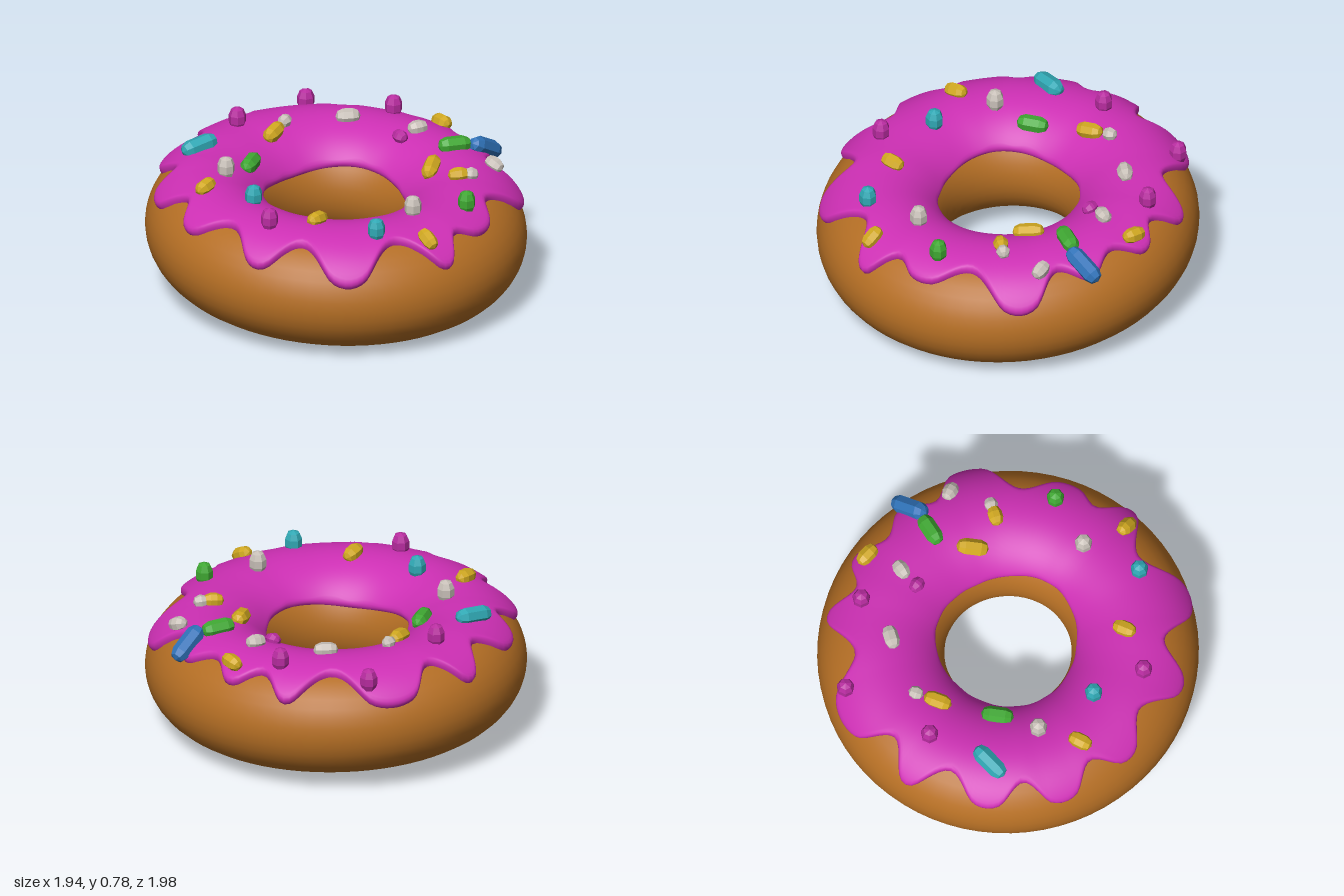
import * as THREE from 'three';

const RING = 0.66, HALF_W = 0.33, HALF_H = 0.3, MID_Y = 0.33;

const mat = (name, color) => {
  const m = new THREE.MeshStandardMaterial({ color });
  m.name = name;
  return m;
};

// Point on the dough section, pushed out by t, with a slight forward tilt
function ringPoint(phi, theta, t) {
  const r = RING + (HALF_W + t) * Math.cos(theta);
  const z = r * Math.sin(phi);
  return [r * Math.cos(phi) * 0.98, MID_Y + (HALF_H + t) * Math.sin(theta) - 0.042 * z, z];
}

// Point on top of the icing above (x, z)
function onIcing(x, z) {
  const theta = Math.acos((Math.hypot(x, z) - RING) / (HALF_W + 0.035));
  return new THREE.Vector3(x, ringPoint(Math.atan2(z, x), theta, 0.035)[1], z);
}

// Surface closed around the ring; optionally closed around the section too
function sweep(cols, rows, closed, pointAt) {
  const pos = [], index = [];
  for (let i = 0; i < cols; i++)
    for (let j = 0; j < rows; j++) pos.push(...pointAt(i, j));
  for (let i = 0; i < cols; i++) {
    for (let j = 0; j < (closed ? rows : rows - 1); j++) {
      const n = (i + 1) % cols, k = (j + 1) % rows;
      const a = i * rows + j, b = i * rows + k, c = n * rows + k, d = n * rows + j;
      index.push(a, b, c, a, c, d);
    }
  }
  const g = new THREE.BufferGeometry();
  g.setAttribute('position', new THREE.Float32BufferAttribute(pos, 3));
  g.setIndex(index);
  g.computeVertexNormals();
  return g;
}

// Icing drips: angle in degrees (from +x towards +z), radius, half width
const DRIPS = [
  [-95, 0.96, 2], [-66, 0.96, 7], [-31, 0.95, 2], [-10, 0.92, 2], [13, 0.91, 2],
  [38, 0.97, 5], [72, 0.9, 4], [94, 0.96, 2], [128, 0.97, 5], [158, 0.95, 3],
  [188, 0.93, 3], [213, 0.95, 4], [238, 0.945, 4],
];

// Each drip has two shoulders, with a valley after it that is deeper where the gap is wider
function dripOutline() {
  const points = [];
  const put = (deg, r) => {
    const a = THREE.MathUtils.degToRad(deg);
    points.push(new THREE.Vector3(r * Math.cos(a), 0, r * Math.sin(a)));
  };
  DRIPS.forEach(([deg, r, w], i) => {
    const [nextDeg, , nextW] = DRIPS[(i + 1) % DRIPS.length];
    const from = deg + w;
    const to = nextDeg - nextW + (nextDeg < deg ? 360 : 0);
    put(deg - w, r);
    put(from, r);
    put((from + to) / 2, 0.9 - 0.0035 * (to - from));
  });
  return new THREE.CatmullRomCurve3(points, true).getSpacedPoints(220).slice(0, 220);
}

function icingGeometry() {
  const outline = dripOutline(), rows = 30;
  return sweep(outline.length, rows, false, (i, j) => {
    const p = outline[i], phi = Math.atan2(p.z, p.x);
    const start = Math.acos(Math.min(0.99, (Math.hypot(p.x, p.z) - RING) / (HALF_W + 0.025)));
    const end = 2.62 + 0.06 * Math.sin(phi * 3);
    // rows bunch up at both edges so the rim rolls over
    const s = (1 - Math.cos(Math.PI * j / (rows - 1))) / 2;
    const edge = Math.min(1, Math.min(s, 1 - s) / 0.06);
    const t = -0.015 + (0.052 - 0.012 * s) * Math.sqrt(edge * (2 - edge));
    return ringPoint(phi, start + (end - start) * s, t);
  });
}

// Sprinkles by colour. Upright: x, z. Lying: x, z, heading in degrees, length
const SPRINKLES = {
  pink: { color: 0xb82ca0, upright: [[-0.05, -0.71], [0.46, -0.76], [0.69, -0.34], [-0.68, 0.26]], lying: [[0.52, -0.095, 90, 0.09]] },
  teal: { color: 0x30a8b4, upright: [[-0.56, 0], [-0.32, 0.68]], lying: [[-0.38, -0.63, 7, 0.21]] },
  green: { color: 0x3fa832, upright: [[0.26, 0.72]], lying: [[-0.24, -0.39, -30, 0.17], [0.65, 0.18, 20, 0.18]] },
  blue: { color: 0x2f72b8, upright: [], lying: [[0.82, 0.225, -7, 0.23]] },
  white: {
    color: 0xc8c0b8,
    upright: [[-0.46, -0.33], [-0.01, 0.61]],
    lying: [[0.15, -0.57, -20, 0.08], [0.44, -0.41, 35, 0.13], [0.495, 0.485, 35, 0.08],
      [0.71, 0.42, 80, 0.11], [0.63, -0.085, 17, 0.11]],
  },
  gold: {
    color: 0xd0a820,
    upright: [],
    lying: [[0.04, -0.53, -20, 0.15], [-0.67, -0.25, -13, 0.13], [-0.46, 0.38, -13, 0.13],
      [-0.11, 0.84, 90, 0.13], [0.43, 0.25, -35, 0.17], [0.44, 0.45, 35, 0.11], [0.825, -0.12, 95, 0.13]],
  },
};

export function createModel() {
  const model = new THREE.Group();
  model.name = 'doughnut';

  const add = (name, geometry, material) => {
    const mesh = new THREE.Mesh(geometry, material);
    mesh.name = name;
    model.add(mesh);
    return mesh;
  };

  add('doughRing', sweep(72, 36, true,
    (i, j) => ringPoint(i / 72 * Math.PI * 2, j / 36 * Math.PI * 2, 0)), mat('dough brown', 0xb46e24));
  add('icing', icingGeometry(), mat('icing magenta', 0xcd2fb4));

  // Faceted pellet centred at a point and lying along a direction
  const up = new THREE.Vector3(0, 1, 0);
  const addSprinkle = (name, material, centre, dir, length, radius) => {
    const g = new THREE.CapsuleGeometry(radius, Math.max(0.005, length - radius * 2), 2, 7).toNonIndexed();
    g.computeVertexNormals();
    const pellet = add(name, g, material);
    pellet.position.copy(centre);
    pellet.quaternion.setFromUnitVectors(up, dir);
  };

  for (const [colour, { color, upright, lying }] of Object.entries(SPRINKLES)) {
    const material = mat('sprinkle ' + colour, color);
    const name = colour + 'Sprinkle';
    for (const [x, z] of upright) {
      addSprinkle(name, material, onIcing(x, z).addScaledVector(up, 0.028), up, 0.13, 0.045);
    }
    for (const [x, z, heading, length] of lying) {
      const a = THREE.MathUtils.degToRad(heading);
      const dx = Math.cos(a) * length / 2, dz = Math.sin(a) * length / 2;
      // follow the slope of the icing under both ends
      const dir = onIcing(x + dx, z + dz).sub(onIcing(x - dx, z - dz)).normalize();
      addSprinkle(name, material, onIcing(x, z).addScaledVector(up, 0.01), dir, length, 0.03 + 0.08 * length);
    }
  }
  return model;
}
